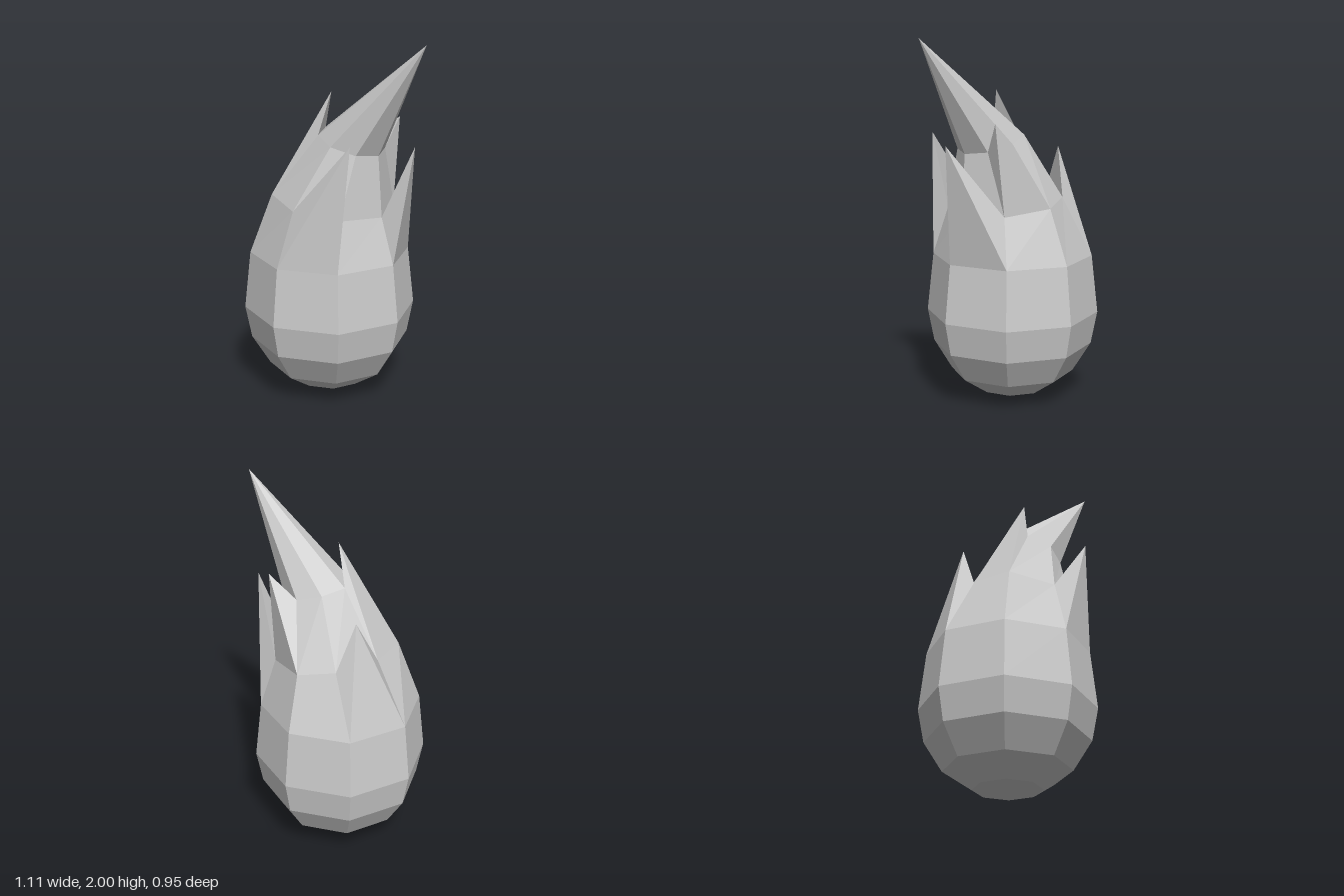
import * as THREE from 'three';

const SIDES = 8;

// Eight-sided ring; slope tilts it along x. Columns run from +x towards +z.
function ring(cx, y, r, slope = 0) {
  return Array.from({ length: SIDES }, (_, k) => {
    const a = (k * Math.PI * 2) / SIDES;
    const dx = r * Math.cos(a);
    return new THREE.Vector3(cx + dx, y + slope * dx, r * Math.sin(a));
  });
}

// Faceted mesh from a list of triangle corners
function facetMesh(name, points, material) {
  const geometry = new THREE.BufferGeometry().setFromPoints(points);
  geometry.computeVertexNormals();
  const mesh = new THREE.Mesh(geometry, material);
  mesh.name = name;
  return mesh;
}

// Triangles joining a closed loop of corners to one point
function fan(loop, tip) {
  return loop.flatMap((p, i) => [p, loop[(i + 1) % loop.length], tip]);
}

export function createModel() {
  const group = new THREE.Group();
  group.name = 'flame';
  const material = new THREE.MeshStandardMaterial({ color: 0xcccccc, flatShading: true });

  // Rings from the rounded base up to the leaning neck
  const rings = [
    ring(-0.08, 0.04, 0.185),
    ring(-0.08, 0.14, 0.34),
    ring(-0.08, 0.3, 0.44),
    ring(-0.08, 0.48, 0.475),
    ring(-0.08, 0.8, 0.44),
    ring(-0.055, 1.1, 0.335, -0.14),
    ring(0.075, 1.44, 0.18, -0.3),
  ];
  // The left shoulder is pulled inwards
  rings[5][4].set(-0.33, 1.14, 0);
  rings[5][5].x = -0.235;

  // Side tongues: each rises from one panel (ring level, column) to a tip
  const tongues = [
    { name: 'frontTongue', level: 4, column: 1, tip: [0.27, 1.485, 0.26] },
    { name: 'sideTongue', level: 4, column: 7, tip: [0.44, 1.45, -0.07] },
    { name: 'smallTongue', level: 4, column: 4, tip: [-0.29, 1.4, -0.14] },
    { name: 'upperTongue', level: 5, column: 3, tip: [-0.015, 1.71, 0.06] },
    { name: 'backTongue', level: 5, column: 6, tip: [0.23, 1.56, -0.22] },
  ];

  // Body panels, leaving out those that grow a tongue
  const body = [];
  for (let level = 0; level < rings.length - 1; level++) {
    for (let k = 0; k < SIDES; k++) {
      const n = (k + 1) % SIDES;
      const [low, high] = [rings[level], rings[level + 1]];
      const panel = [low[n], low[k], high[k], high[n]];
      const tongue = tongues.find((t) => t.level === level && t.column === k);
      if (tongue) {
        const tip = new THREE.Vector3(...tongue.tip);
        group.add(facetMesh(tongue.name, fan(panel, tip), material));
      } else {
        const [a, b, c, d] = panel;
        body.push(a, b, c, a, c, d);
      }
    }
  }
  // Shallow point underneath
  body.push(...fan(rings[0], new THREE.Vector3(-0.08, 0, 0)));
  group.add(facetMesh('body', body, material));

  // Main tip sweeping to the side
  const neck = [...rings[rings.length - 1]].reverse();
  group.add(facetMesh('mainTip', fan(neck, new THREE.Vector3(0.55, 2, 0)), material));

  return group;
}
